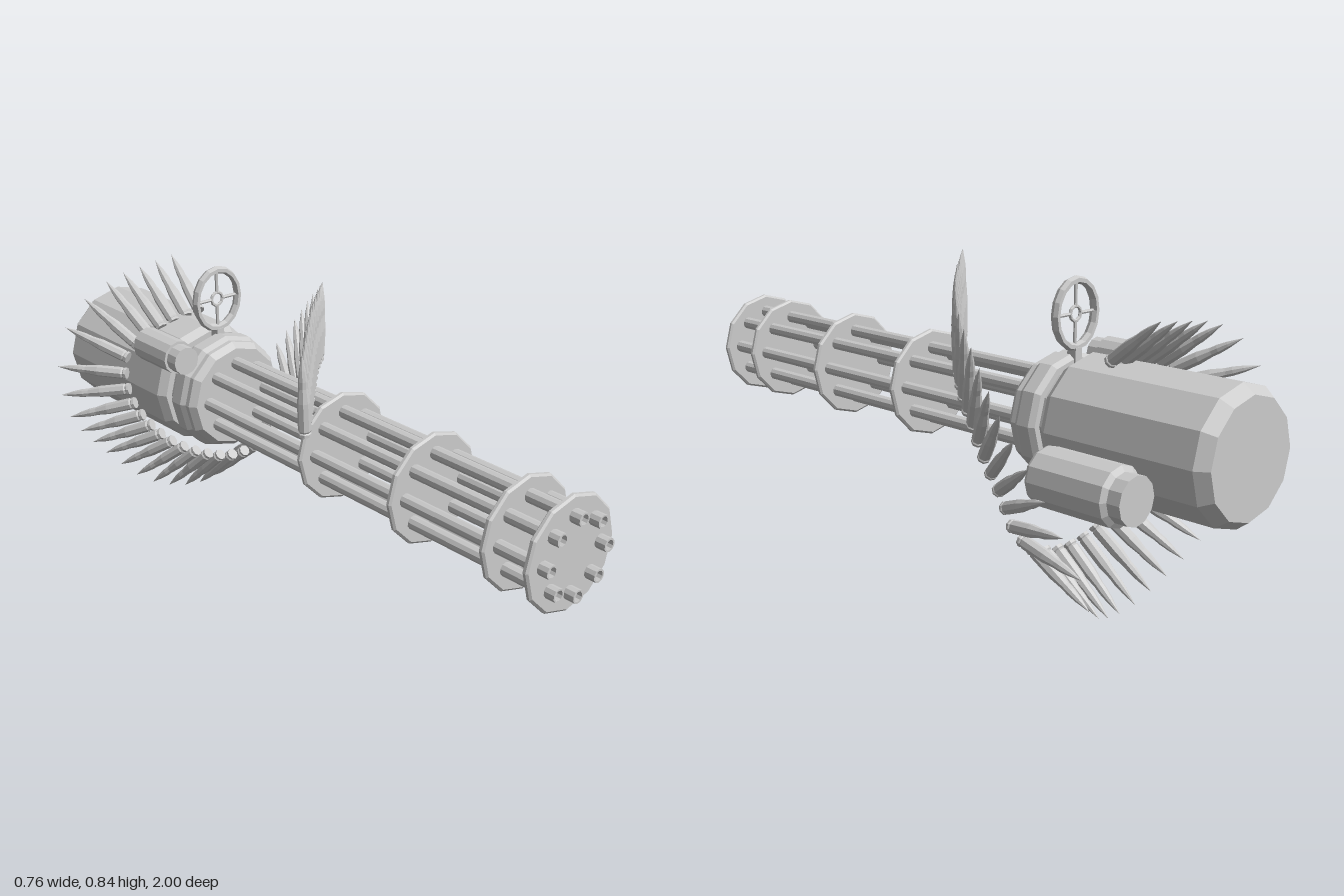
import * as THREE from 'three';

const AX = -0.03, AY = 0.465; // gun axis, parallel to z

export function createModel() {
  const root = new THREE.Group();
  const mat = new THREE.MeshStandardMaterial({ color: 0xcccccc, flatShading: true });
  const add = (geo, name, parent = root) => {
    const m = new THREE.Mesh(geo, mat);
    m.name = name;
    parent.add(m);
    return m;
  };
  // lathe of [radius, height] points, listed from bottom to top
  const turned = (pts, sides) =>
    new THREE.LatheGeometry(pts.map(p => new THREE.Vector2(p[0], p[1])), sides);
  // the same, laid along z
  const alongZ = (pts, sides, name, x = AX, y = AY) => {
    const m = add(turned(pts, sides).rotateX(Math.PI / 2), name);
    m.position.set(x, y, 0);
    return m;
  };

  // motor housing, neck and front collar
  alongZ([[0, -1], [0.16, -1], [0.185, -0.965], [0.185, -0.49], [0.168, -0.465], [0, -0.465]], 12, 'housing');
  alongZ([[0.148, -0.47], [0.148, -0.42]], 12, 'neck');
  alongZ([[0, -0.44], [0.165, -0.44], [0.176, -0.425], [0.176, -0.385], [0.166, -0.37],
    [0.166, -0.355], [0.15, -0.335], [0, -0.335]], 12, 'collar');

  // eight barrels with bored muzzles
  for (let i = 0; i < 8; i++) {
    const a = i * Math.PI / 4;
    alongZ([[0.019, -0.34], [0.019, 1], [0.014, 1], [0.014, 0.985], [0, 0.985]], 10, 'barrel',
      AX + 0.104 * Math.sin(a), AY + 0.104 * Math.cos(a));
  }

  // barrel clamps
  for (const z of [0.14, 0.495, 0.82, 0.96]) {
    alongZ([[0, z - 0.009], [0.152, z - 0.009], [0.158, z - 0.004], [0.158, z + 0.004],
      [0.152, z + 0.009], [0, z + 0.009]], 12, 'barrelClamp');
  }

  // side motor and small upper motor
  alongZ([[0, -0.84], [0.065, -0.84], [0.065, -0.8], [0.08, -0.79], [0.08, -0.55], [0.075, -0.54], [0, -0.54]],
    12, 'sideMotor', 0.2, 0.373);
  alongZ([[0, -0.56], [0.05, -0.56], [0.05, -0.4], [0.042, -0.4], [0.042, -0.36], [0, -0.36]],
    12, 'upperMotor', -0.193, 0.608);

  // ring sight with hub, spokes and post
  const sight = new THREE.Group();
  sight.name = 'ringSight';
  sight.position.set(-0.025, 0.745, -0.43);
  root.add(sight);
  add(new THREE.TorusGeometry(0.09, 0.011, 6, 16).scale(0.85, 1, 1.3), 'sightRing', sight);
  add(new THREE.TorusGeometry(0.02, 0.005, 6, 10), 'sightHub', sight);
  for (let i = 0; i < 4; i++) {
    const a = i * Math.PI / 2, len = i % 2 ? 0.07 : 0.058;
    const s = add(new THREE.CylinderGeometry(0.005, 0.005, len, 6), 'sightSpoke', sight);
    const d = 0.018 + len / 2;
    s.position.set(d * Math.cos(a), d * Math.sin(a), 0);
    s.rotation.z = a - Math.PI / 2;
  }
  add(new THREE.BoxGeometry(0.025, 0.05, 0.03), 'sightPost', sight).position.y = -0.115;

  // ammunition belt: [cartridge base, cartridge tip] stations round the housing
  const stations = [
    [[-0.255, 0.595, 0.25], [-0.265, 0.825, 0.25]],
    [[-0.04, 0.62, 0.02], [-0.035, 0.845, 0.02]],
    [[0.1, 0.605, -0.12], [0.135, 0.83, -0.14]],
    [[0.19, 0.555, -0.22], [0.25, 0.79, -0.27]],
    [[0.25, 0.485, -0.32], [0.33, 0.68, -0.42]],
    [[0.285, 0.4, -0.41], [0.375, 0.55, -0.56]],
    [[0.295, 0.32, -0.48], [0.375, 0.42, -0.67]],
    [[0.295, 0.25, -0.52], [0.345, 0.28, -0.745]],
    [[0.27, 0.213, -0.53], [0.29, 0.165, -0.755]],
    [[0.225, 0.18, -0.53], [0.21, 0.05, -0.715]],
    [[0.1, 0.165, -0.53], [0.085, 0.005, -0.7]],
    [[-0.04, 0.215, -0.54], [-0.105, 0.065, -0.7]],
    [[-0.155, 0.3, -0.56], [-0.25, 0.2, -0.74]],
    [[-0.235, 0.42, -0.58], [-0.365, 0.35, -0.76]],
    [[-0.245, 0.5, -0.6], [-0.38, 0.485, -0.79]],
    [[-0.23, 0.56, -0.61], [-0.32, 0.63, -0.81]],
    [[-0.17, 0.61, -0.6], [-0.2, 0.74, -0.79]],
    [[0.03, 0.65, -0.6], [0.06, 0.78, -0.78]],
  ];
  const curve = k => new THREE.CatmullRomCurve3(stations.map(s => new THREE.Vector3(...s[k])));
  const bases = curve(0), tips = curve(1);
  const cartridge = turned([[0, 0], [0.018, 0], [0.018, 0.008], [0.015, 0.011], [0.018, 0.016],
    [0.0175, 0.095], [0.0125, 0.135], [0.0125, 0.155], [0.009, 0.185], [0, 0.23]], 8);
  const belt = new THREE.Group();
  belt.name = 'ammunitionBelt';
  root.add(belt);
  const up = new THREE.Vector3(0, 1, 0);
  const n = Math.round(bases.getLength() / 0.048);
  for (let i = 0; i <= n; i++) {
    const t = bases.getUtoTmapping(i / n);
    const b = bases.getPoint(t);
    const dir = tips.getPoint(t).sub(b).normalize();
    const c = add(cartridge, 'cartridge', belt);
    c.position.copy(b);
    c.quaternion.setFromUnitVectors(up, dir);
  }
  return root;
}
